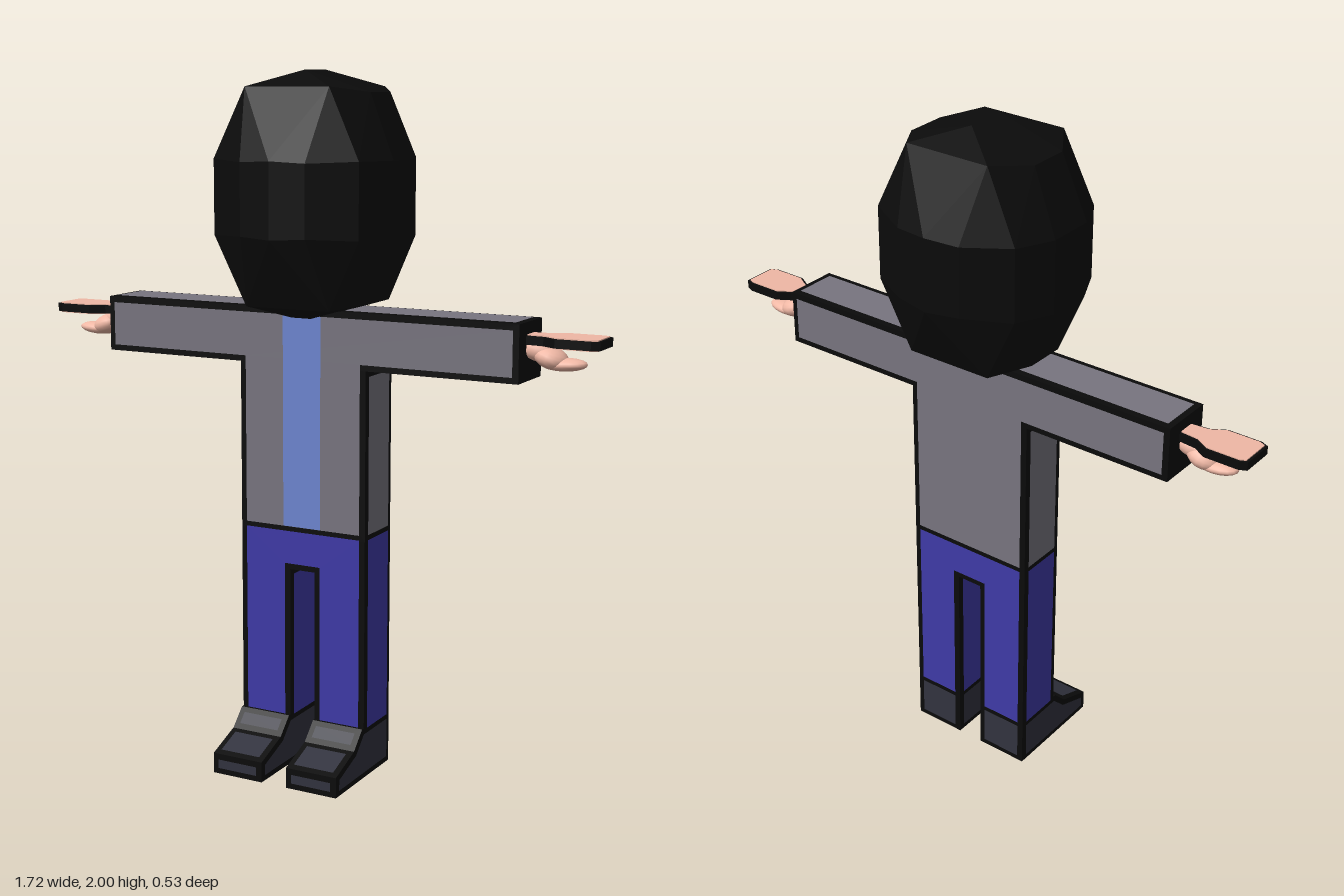
import * as THREE from 'three';
import { ConvexGeometry } from 'three/addons/geometries/ConvexGeometry.js';

const mat = (color) => new THREE.MeshStandardMaterial({ color, flatShading: true });
const black = mat(0x0b0b0b), shirt = mat(0x78757f), stripe = mat(0x6d85d0);
const pants = mat(0x3f3aa8), shoe = mat(0x32333f);
const skin = new THREE.MeshStandardMaterial({ color: 0xf0b8a5 });
const BORDER = 0.017, LIFT = 0.002;

function mesh(name, geometry, material, parent) {
  const m = new THREE.Mesh(geometry, material);
  m.name = name;
  parent.add(m);
  return m;
}

const toShape = (pts) => new THREE.Shape(pts.map(([x, y]) => new THREE.Vector2(x, y)));

// Offsets a counter-clockwise outline inwards with mitred corners
function inset(pts, t) {
  const n = pts.length;
  const normal = (a, b) => {
    const l = Math.hypot(b[0] - a[0], b[1] - a[1]);
    return [(a[1] - b[1]) / l, (b[0] - a[0]) / l];
  };
  return pts.map((p, i) => {
    const a = normal(pts[(i + n - 1) % n], p), b = normal(p, pts[(i + 1) % n]);
    const k = t / (1 + a[0] * b[0] + a[1] * b[1]);
    return [p[0] + (a[0] + b[0]) * k, p[1] + (a[1] + b[1]) * k];
  });
}

// Black prism with a coloured panel on each face, leaving black edges;
// "bare" lists the outline edges whose walls stay black
function outlinedPrism(name, pts, depth, material, bare = []) {
  const g = new THREE.Group();
  g.name = name;
  const core = new THREE.ExtrudeGeometry(toShape(pts), { depth, bevelEnabled: false });
  mesh(name + 'Outline', core.translate(0, 0, -depth / 2), black, g);

  const face = new THREE.ShapeGeometry(toShape(inset(pts, BORDER)));
  mesh(name + 'FrontPanel', face, material, g).position.z = depth / 2 + LIFT;
  const back = new THREE.ShapeGeometry(toShape(inset(pts.map(([x, y]) => [-x, y]).reverse(), BORDER)));
  const b = mesh(name + 'BackPanel', back, material, g);
  b.rotation.y = Math.PI;
  b.position.z = -depth / 2 - LIFT;

  pts.forEach((p, i) => {
    if (bare.includes(i)) return;
    const q = pts[(i + 1) % pts.length];
    const dx = q[0] - p[0], dy = q[1] - p[1], len = Math.hypot(dx, dy);
    const wall = new THREE.PlaneGeometry(len - 2 * BORDER, depth - 2 * BORDER);
    wall.rotateX(Math.PI / 2).rotateZ(Math.atan2(dy, dx));
    mesh(name + 'EdgePanel', wall, material, g).position.set(
      (p[0] + q[0]) / 2 + (dy / len) * LIFT, (p[1] + q[1]) / 2 - (dx / len) * LIFT, 0);
  });
  return g;
}

// Faceted head of hair, mirrored from one octant
function buildHair() {
  const octant = [
    [0, 0.345, 0.06], [0.2, 0.285, 0.06], [0.13, 0.3, 0.165], [0.275, 0.105, 0.07],
    [0.225, 0.105, 0.175], [0, 0.105, 0.263], [0.1, 0.1, 0.245],
  ];
  const pts = [];
  for (const [x, y, z] of octant)
    for (const sx of x ? [1, -1] : [1])
      for (const sy of [1, -1])
        for (const sz of [1, -1]) pts.push(new THREE.Vector3(x * sx, y * sy, z * sz));
  return new ConvexGeometry(pts).translate(0, 1.655, 0);
}

// Flat palm with a dark rim, and a thumb curling below it
function buildHand(side) {
  const g = new THREE.Group();
  g.name = side > 0 ? 'leftHand' : 'rightHand';
  const half = [[0.64, -0.03], [0.7, -0.036], [0.74, -0.06], [0.84, -0.06], [0.862, -0.05]];
  let pts = [...half, ...half.map(([x, y]) => [x, -y]).reverse()];
  if (side < 0) pts = pts.map(([x, y]) => [-x, y]).reverse();
  const slab = (outline, depth, y) =>
    new THREE.ExtrudeGeometry(toShape(outline), { depth, bevelEnabled: false })
      .rotateX(Math.PI / 2).translate(0, y, 0);
  mesh('palmRim', slab(pts, 0.024, 1.309), black, g);
  mesh('palm', slab(inset(pts, 0.007), 0.03, 1.312), skin, g);

  const blob = (name, x, y, sx, sy, sz, tilt) => {
    const m = mesh(name, new THREE.SphereGeometry(1, 16, 10), skin, g);
    m.position.set(side * x, y, 0);
    m.scale.set(sx, sy, sz);
    m.rotation.z = side * tilt;
  };
  blob('wrist', 0.675, 1.268, 0.055, 0.03, 0.034, -0.2);
  blob('thumbBase', 0.71, 1.25, 0.05, 0.03, 0.045, -0.3);
  blob('thumb', 0.75, 1.235, 0.062, 0.018, 0.035, 0.05);
  return g;
}

export function createModel() {
  const model = new THREE.Group();
  model.name = 'figure';

  // Shirt with outstretched sleeves; sleeve ends and hem stay black
  model.add(outlinedPrism('shirt', [
    [-0.2, 0.7], [0.2, 0.7], [0.2, 1.185], [0.65, 1.185],
    [0.65, 1.345], [-0.65, 1.345], [-0.65, 1.185], [-0.2, 1.185],
  ], 0.16, shirt, [0, 3, 5]));
  const strip = mesh('shirtStripe', new THREE.PlaneGeometry(0.12, 0.61), stripe, model);
  strip.position.set(0, 1.023, 0.08 + 2 * LIFT);

  // Trousers
  model.add(outlinedPrism('trousers', [
    [-0.2, 0.13], [-0.04, 0.13], [-0.04, 0.59], [0.04, 0.59],
    [0.04, 0.13], [0.2, 0.13], [0.2, 0.72], [-0.2, 0.72],
  ], 0.16, pants, [0, 4, 6]));

  // Shoes and hands
  for (const side of [1, -1]) {
    const s = outlinedPrism(side > 0 ? 'leftShoe' : 'rightShoe', [
      [-0.08, 0], [0.25, 0], [0.25, 0.06], [0.14, 0.1], [0.09, 0.15], [-0.08, 0.15],
    ], 0.16, shoe, [4]);
    s.rotation.y = -Math.PI / 2;
    s.position.x = side * 0.12;
    model.add(s, buildHand(side));
  }

  mesh('hair', buildHair(), black, model);
  return model;
}
